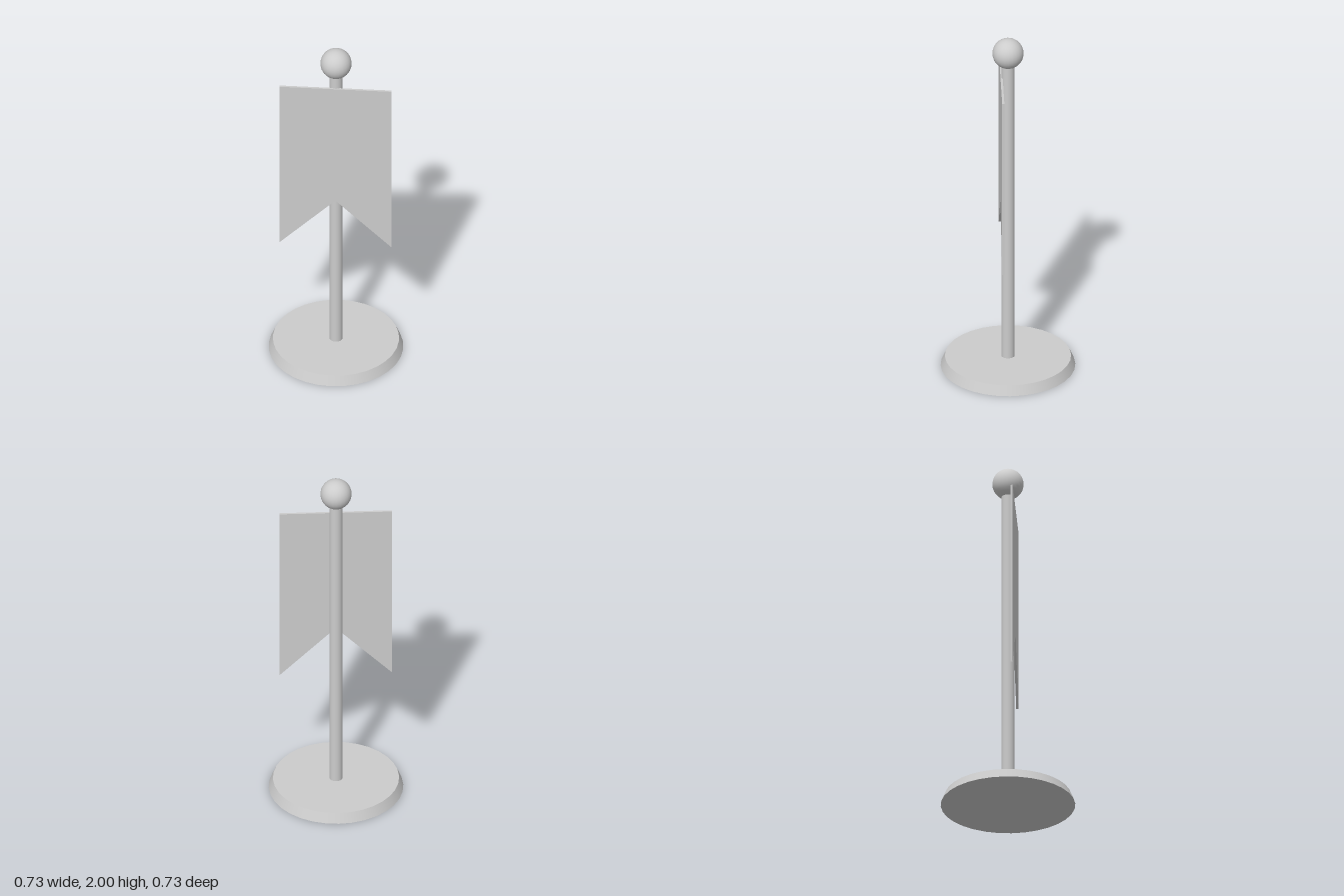
import * as THREE from 'three';

export function createModel() {
  const group = new THREE.Group();
  const grey = new THREE.MeshStandardMaterial({ color: 0xcccccc });
  grey.name = 'plain grey';

  const add = (name, geometry, y = 0, z = 0) => {
    const mesh = new THREE.Mesh(geometry, grey);
    mesh.name = name;
    mesh.position.set(0, y, z);
    group.add(mesh);
  };

  // Round foot with a sloping rim
  const baseHeight = 0.055;
  add('base', new THREE.CylinderGeometry(0.342, 0.365, baseHeight, 32), baseHeight / 2);

  // Upright pole, running from the foot into the ball
  const poleTop = 1.88;
  const poleLength = poleTop - baseHeight;
  add('pole', new THREE.CylinderGeometry(0.036, 0.036, poleLength, 24), baseHeight + poleLength / 2);

  // Ball on top of the pole
  add('finial', new THREE.SphereGeometry(0.085, 24, 16), 1.915);

  // Swallow-tailed banner, a thin sheet against the front of the pole
  const outline = new THREE.Shape([
    [-0.305, 1.77], [-0.305, 0.715], [0, 1.015], [0.305, 0.715], [0.305, 1.77],
  ].map(([x, y]) => new THREE.Vector2(x, y)));
  add('banner', new THREE.ExtrudeGeometry(outline, { depth: 0.012, bevelEnabled: false }), 0, 0.029);

  return group;
}
